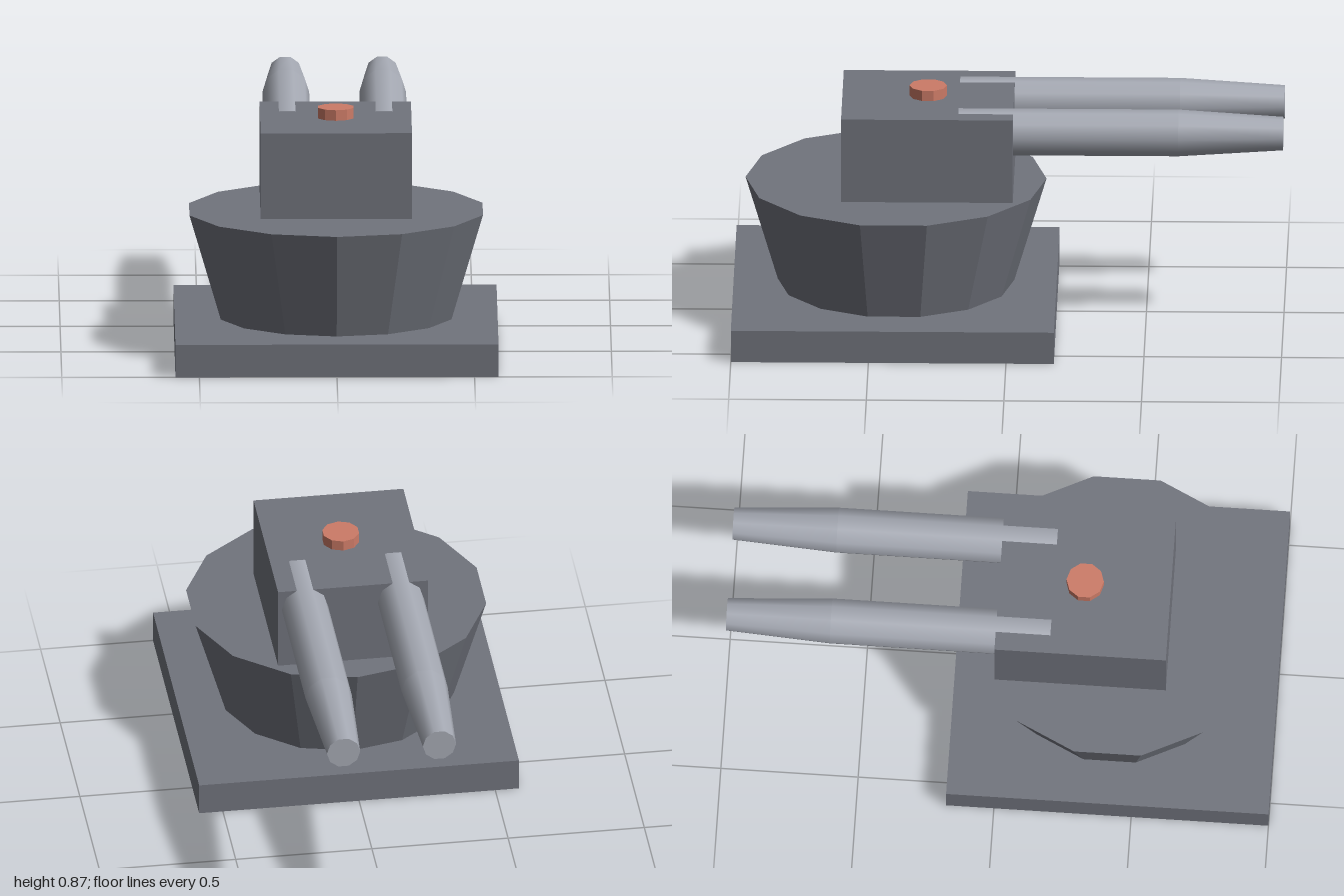
import * as THREE from 'three';

const armour = new THREE.MeshStandardMaterial({ color: 0x71747d, flatShading: true });
armour.name = 'armour grey';
const steel = new THREE.MeshStandardMaterial({ color: 0xa6aab4 });
steel.name = 'barrel steel';
const copper = new THREE.MeshStandardMaterial({ color: 0xcc7b67, flatShading: true });
copper.name = 'hatch copper';

const CENTRE_Z = 0.41;

function add(parent, name, geometry, material, x, y, z) {
  const mesh = new THREE.Mesh(geometry, material);
  mesh.name = name;
  mesh.position.set(x, y, z);
  parent.add(mesh);
  return mesh;
}

// Ten-sided tube section running along z, with flats on top and bottom
function tubeSection(backRadius, frontRadius, zStart, zEnd) {
  const length = zStart - zEnd;
  return new THREE.CylinderGeometry(frontRadius, backRadius, length, 10, 1, false, Math.PI / 2)
    .rotateX(-Math.PI / 2)
    .translate(0, 0, zStart - length / 2);
}

export function createModel() {
  const model = new THREE.Group();
  model.name = 'gunTurret';

  // Square foundation slab
  add(model, 'basePlate', new THREE.BoxGeometry(1.174, 0.12, 1.174), armour, 0, 0.06, 0.413);

  // Faceted drum that widens upwards
  add(model, 'drum', new THREE.CylinderGeometry(0.547, 0.43, 0.39, 14), armour, 0, 0.315, CENTRE_Z);

  // Gun housing
  add(model, 'housing', new THREE.BoxGeometry(0.55, 0.317, 0.624), armour, 0, 0.6685, 0.293);

  // Round hatch on the housing roof
  add(model, 'hatch', new THREE.CylinderGeometry(0.068, 0.068, 0.042, 10), copper, 0, 0.845, 0.293);

  // Twin barrels, straight and then tapered to the muzzle
  for (const side of [1, -1]) {
    const barrel = new THREE.Group();
    barrel.name = side > 0 ? 'leftBarrel' : 'rightBarrel';
    barrel.position.set(side * 0.176, 0.749, 0);
    add(barrel, 'barrelTube', tubeSection(0.085, 0.085, 0.18, -0.62), steel, 0, 0, 0);
    add(barrel, 'barrelMuzzle', tubeSection(0.085, 0.061, -0.62, -1), steel, 0, 0, 0);
    model.add(barrel);
  }

  return model;
}
